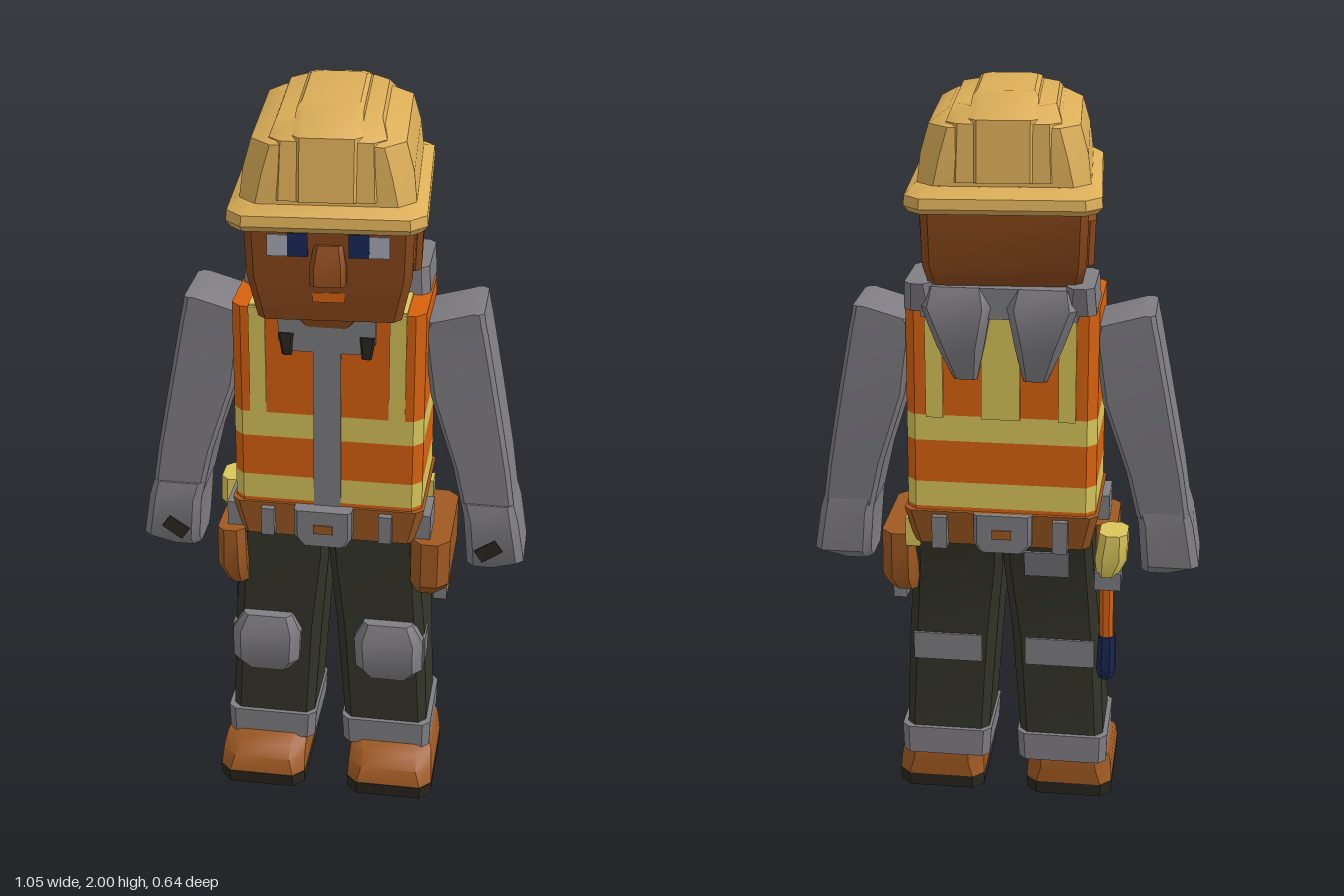
import * as THREE from 'three';
import { toCreasedNormals } from 'three/addons/utils/BufferGeometryUtils.js';

const mat = (name, color) => Object.assign(new THREE.MeshStandardMaterial({ color }), { name });

// Stack of chamfered rectangles, each ring = [y, x0, x1, z0, z1, chamfer]
function loftGeometry(rings) {
  const pos = [];
  const loops = rings.map(([y, x0, x1, z0, z1, c]) => [
    [x1, y, z0 + c], [x1, y, z1 - c], [x1 - c, y, z1], [x0 + c, y, z1],
    [x0, y, z1 - c], [x0, y, z0 + c], [x0 + c, y, z0], [x1 - c, y, z0]]);
  const tri = (a, b, c) => pos.push(...a, ...b, ...c);
  const n = 8, last = loops.length - 1;
  for (let r = 0; r < last; r++) for (let i = 0; i < n; i++) {
    const j = (i + 1) % n, lo = loops[r], hi = loops[r + 1];
    tri(lo[i], hi[i], lo[j]);
    tri(lo[j], hi[i], hi[j]);
  }
  for (let i = 1; i < n - 1; i++) {
    tri(loops[0][0], loops[0][i], loops[0][i + 1]);
    tri(loops[last][0], loops[last][i + 1], loops[last][i]);
  }
  const g = new THREE.BufferGeometry();
  g.setAttribute('position', new THREE.Float32BufferAttribute(pos, 3));
  return toCreasedNormals(g, 0.6);
}

export function createModel() {
  const model = new THREE.Group();
  model.name = 'builder';
  const M = {
    helmet: mat('helmet yellow', 0xdcae58), skin: mat('skin', 0x8c4a1c),
    orange: mat('vest orange', 0xd8620f), yellow: mat('safety yellow', 0xd9c65a),
    gray: mat('gray', 0x807e83), pants: mat('trouser green', 0x353629),
    leather: mat('leather', 0xa05a22), navy: mat('navy', 0x1a2858),
    dark: mat('dark rubber', 0x2c2820), white: mat('eye white', 0xa9a9b6),
  };
  const add = (parent, name, geo, m) => {
    const mesh = new THREE.Mesh(geo, m);
    mesh.name = name;
    parent.add(mesh);
    return mesh;
  };
  const loft = (p, name, m, rings) => add(p, name, loftGeometry(rings), m);
  const box = (p, name, m, x0, x1, y0, y1, z0, z1) => {
    const g = new THREE.BoxGeometry(x1 - x0, y1 - y0, z1 - z0);
    g.translate((x0 + x1) / 2, (y0 + y1) / 2, (z0 + z1) / 2);
    return add(p, name, g, m);
  };
  // Mirror x limits and rings for the right side
  const side = (s, a, b) => (s > 0 ? [a, b] : [-b, -a]);
  const flip = (s, rings) => rings.map(([y, a, b, ...r]) => [y, ...side(s, a, b), ...r]);

  // Head, turned slightly
  const head = new THREE.Group();
  head.name = 'head';
  head.rotation.y = 0.07;
  model.add(head);
  loft(head, 'face', M.skin, [
    [1.46, -0.18, 0.18, -0.08, 0.195, 0.02], [1.53, -0.195, 0.195, -0.19, 0.205, 0.02],
    [1.58, -0.205, 0.205, -0.22, 0.21, 0.02], [1.77, -0.21, 0.21, -0.225, 0.225, 0.02]]);
  loft(head, 'nose', M.skin, [
    [1.575, -0.045, 0.045, 0.18, 0.255, 0.012], [1.62, -0.045, 0.045, 0.18, 0.25, 0.012],
    [1.67, -0.035, 0.035, 0.18, 0.225, 0.01]]);
  box(head, 'mouth', M.orange, -0.04, 0.04, 1.515, 1.54, 0.2, 0.208);
  for (const s of [1, -1]) {
    box(head, 'eyeWhite', M.white, ...side(s, 0.1, 0.15), 1.64, 1.695, 0.214, 0.222);
    box(head, 'iris', M.navy, ...side(s, 0.05, 0.1), 1.64, 1.7, 0.215, 0.223);
    loft(head, 'ear', M.skin, flip(s, [
      [1.54, 0.17, 0.222, -0.05, 0.05, 0.015], [1.66, 0.17, 0.226, -0.06, 0.07, 0.015]]));
  }

  // Hard hat: brim, stepped shell and crown ridges
  loft(head, 'brim', M.helmet, [
    [1.73, -0.23, 0.23, -0.29, 0.295, 0.03], [1.745, -0.242, 0.242, -0.305, 0.305, 0.04],
    [1.77, -0.24, 0.24, -0.3, 0.3, 0.04], [1.79, -0.215, 0.215, -0.255, 0.275, 0.05]]);
  loft(head, 'shell', M.helmet, [
    [1.77, -0.215, 0.215, -0.25, 0.27, 0.04], [1.86, -0.205, 0.205, -0.245, 0.26, 0.05],
    [1.93, -0.185, 0.185, -0.235, 0.25, 0.05], [1.96, -0.14, 0.14, -0.2, 0.21, 0.06]]);
  loft(head, 'crownStep', M.helmet, [
    [1.8, -0.145, 0.145, -0.252, 0.272, 0.03], [1.94, -0.14, 0.14, -0.24, 0.25, 0.03],
    [1.975, -0.125, 0.125, -0.19, 0.2, 0.04]]);
  loft(head, 'crownRidge', M.helmet, [
    [1.8, -0.085, 0.085, -0.258, 0.278, 0.02], [1.95, -0.085, 0.085, -0.245, 0.255, 0.02],
    [1.99, -0.08, 0.08, -0.17, 0.18, 0.02], [2.0, -0.07, 0.07, -0.13, 0.14, 0.02]]);

  // Vest built as stacked bands
  const ring = y => [y, -0.25, 0.25, -0.175 + (y - 0.86) * 0.025, 0.145 - (y - 0.86) * 0.012, 0.025];
  const bands = [[0.86, 'orange'], [0.91, 'yellow'], [0.98, 'orange'], [1.095, 'yellow'], [1.165, 'orange'], [1.46]];
  for (let i = 0; i < bands.length - 1; i++)
    loft(model, 'vestBand', M[bands[i][1]], [ring(bands[i][0]), ring(bands[i + 1][0])]);
  box(model, 'zipPanel', M.gray, -0.036, 0.036, 0.88, 1.42, 0.138, 0.147);
  box(model, 'backStripe', M.yellow, -0.05, 0.05, 1.16, 1.46, -0.173, -0.164);
  for (const s of [1, -1]) {
    box(model, 'frontStripe', M.yellow, ...side(s, 0.16, 0.203), 1.16, 1.462, 0.136, 0.144);
    box(model, 'backSideStripe', M.yellow, ...side(s, 0.15, 0.195), 1.16, 1.462, -0.173, -0.164);
    box(model, 'shoulderStripe', M.yellow, ...side(s, 0.16, 0.203), 1.458, 1.466, -0.16, 0.135);
    // Collar flaps and hood lobes
    const flap = new THREE.Shape([[0, 1.46], [0.125, 1.46], [0.125, 1.38], [0.085, 1.35], [0.03, 1.35], [0, 1.32]]
      .map(([x, y]) => new THREE.Vector2(s * x, y)));
    const g = new THREE.ExtrudeGeometry(flap, { depth: 0.012, bevelEnabled: false });
    g.translate(0, 0, 0.138);
    add(model, 'collarFlap', g, M.gray);
    loft(model, 'collarToggle', M.dark, flip(s, [
      [1.34, 0.09, 0.115, 0.14, 0.156, 0.005], [1.4, 0.085, 0.125, 0.14, 0.156, 0.005]]));
    loft(model, 'hoodLobe', M.gray, flip(s, [
      [1.27, 0.06, 0.12, -0.18, -0.16, 0.008], [1.36, 0.04, 0.16, -0.21, -0.13, 0.02],
      [1.47, 0.02, 0.2, -0.22, -0.1, 0.02], [1.52, 0.03, 0.19, -0.2, -0.1, 0.02]]));
    loft(model, 'collarSide', M.gray, flip(s, [
      [1.455, 0.16, 0.245, -0.2, 0.0, 0.02], [1.53, 0.17, 0.24, -0.215, -0.01, 0.02]]));
  }
  box(model, 'collarBack', M.gray, -0.2, 0.2, 1.44, 1.52, -0.2, -0.09);
  loft(model, 'neck', M.skin, [
    [1.42, -0.07, 0.07, -0.08, 0.15, 0.02], [1.48, -0.12, 0.12, -0.1, 0.16, 0.02]]);

  // Tool belt
  loft(model, 'belt', M.leather, [
    [0.8, -0.235, 0.235, -0.165, 0.145, 0.02], [0.9, -0.258, 0.258, -0.185, 0.152, 0.02]]);
  for (const [z0, z1, zd] of [[0.14, 0.185, 0.181], [-0.2, -0.16, -0.204]]) {
    loft(model, 'buckle', M.gray, [
      [0.795, -0.065, 0.055, z0, z1, 0.01], [0.82, -0.085, 0.07, z0, z1, 0.01], [0.9, -0.085, 0.07, z0, z1, 0.01]]);
    box(model, 'buckleStud', M.leather, -0.032, 0.02, 0.835, 0.86, zd, zd + 0.008);
  }
  for (const s of [1, -1]) {
    box(model, 'beltClip', M.gray, ...side(s, 0.14, 0.175), 0.81, 0.89, 0.14, 0.17);
    box(model, 'beltClipBack', M.gray, ...side(s, 0.14, 0.18), 0.8, 0.89, -0.2, -0.16);
    box(model, 'beltLoop', M.gray, ...side(s, 0.22, 0.275), 0.79, 0.88, 0.02, 0.13);
  }
  loft(model, 'leftPouch', M.leather, [
    [0.64, 0.22, 0.315, -0.13, 0.13, 0.03], [0.68, 0.225, 0.33, -0.15, 0.165, 0.03],
    [0.81, 0.225, 0.33, -0.145, 0.16, 0.03]]);
  loft(model, 'rightPouch', M.leather, [
    [0.64, -0.28, -0.22, 0.0, 0.15, 0.02], [0.7, -0.3, -0.22, -0.02, 0.175, 0.02],
    [0.81, -0.3, -0.225, -0.02, 0.165, 0.02]]);
  box(model, 'pouchTool', M.gray, 0.28, 0.318, 0.57, 0.68, -0.04, 0.045);
  box(model, 'pouchRule', M.yellow, 0.22, 0.26, 0.78, 0.86, -0.15, -0.1);

  // Hammer hanging at the right hip
  loft(model, 'hammerHead', M.yellow, [
    [0.72, -0.31, -0.255, -0.16, -0.08, 0.015], [0.77, -0.335, -0.25, -0.17, -0.05, 0.02],
    [0.84, -0.335, -0.26, -0.16, -0.06, 0.02]]);
  box(model, 'hammerNeck', M.gray, -0.32, -0.25, 0.68, 0.73, -0.155, -0.075);
  loft(model, 'hammerHandle', M.orange, [
    [0.51, -0.302, -0.266, -0.138, -0.102, 0.01], [0.69, -0.3, -0.262, -0.135, -0.095, 0.01]]);
  loft(model, 'hammerGrip', M.navy, [
    [0.4, -0.3, -0.265, -0.135, -0.1, 0.01], [0.43, -0.31, -0.258, -0.145, -0.095, 0.014],
    [0.53, -0.307, -0.262, -0.142, -0.098, 0.012]]);

  for (const s of [1, -1]) {
    // Arms with gloved fists
    loft(model, 'arm', M.gray, flip(s, [
      [0.87, 0.355, 0.495, -0.1, 0.08, 0.012], [1.0, 0.325, 0.475, -0.11, 0.075, 0.012],
      [1.2, 0.26, 0.437, -0.125, 0.065, 0.012], [1.38, 0.235, 0.402, -0.13, 0.06, 0.012],
      [1.41, 0.245, 0.395, -0.13, 0.06, 0.012], [1.44, 0.35, 0.39, -0.13, 0.06, 0.012]]));
    loft(model, 'glove', M.gray, flip(s, [
      [0.7, 0.37, 0.46, -0.07, 0.07, 0.02], [0.73, 0.37, 0.525, -0.1, 0.09, 0.02],
      [0.85, 0.36, 0.505, -0.105, 0.095, 0.02], [0.9, 0.35, 0.49, -0.1, 0.085, 0.015]]));
    const grip = box(model, 'gripHole', M.dark, -0.033, 0.033, -0.02, 0.02, 0, 0.007);
    grip.position.set(s * 0.43, 0.765, 0.09);
    grip.rotation.z = s * 0.6;

    // Legs, cuffs and boots
    loft(model, 'leg', M.pants, flip(s, [
      [0.12, 0.05, 0.28, -0.1, 0.125, 0.02], [0.5, 0.022, 0.265, -0.105, 0.13, 0.025],
      [0.72, 0.002, 0.245, -0.13, 0.13, 0.02], [0.82, -0.002, 0.24, -0.155, 0.135, 0.02]]));
    loft(model, 'cuff', M.gray, flip(s, [
      [0.12, 0.042, 0.288, -0.115, 0.138, 0.02], [0.2, 0.037, 0.29, -0.113, 0.138, 0.02]]));
    loft(model, 'bootSole', M.dark, flip(s, [
      [0, 0.062, 0.302, -0.095, 0.215, 0.03], [0.04, 0.062, 0.305, -0.1, 0.22, 0.03]]));
    loft(model, 'boot', M.leather, flip(s, [
      [0.04, 0.062, 0.303, -0.1, 0.218, 0.03], [0.085, 0.064, 0.3, -0.1, 0.205, 0.04],
      [0.115, 0.065, 0.295, -0.1, 0.17, 0.04], [0.14, 0.065, 0.28, -0.095, 0.12, 0.03]]));

    // Knee pads with straps at the back
    loft(model, 'kneePad', M.gray, flip(s, [
      [0.36, 0.11, 0.23, 0.1, 0.155, 0.015], [0.4, 0.08, 0.265, 0.1, 0.178, 0.025],
      [0.49, 0.075, 0.265, 0.1, 0.178, 0.025], [0.54, 0.1, 0.235, 0.1, 0.16, 0.015]]));
    box(model, 'kneeStrap', M.gray, ...side(s, 0.06, 0.25), 0.42, 0.5, -0.112, -0.104);
    box(model, 'kneeStrapSide', M.gray, ...side(s, 0.262, 0.27), 0.41, 0.49, 0.05, 0.13);
  }
  // Patch on the rear pocket
  const patch = box(model, 'rearPatch', M.gray, -0.06, 0.06, -0.04, 0.04, -0.004, 0.004);
  patch.position.set(-0.12, 0.74, -0.137);
  patch.rotation.x = -0.24;
  return model;
}
